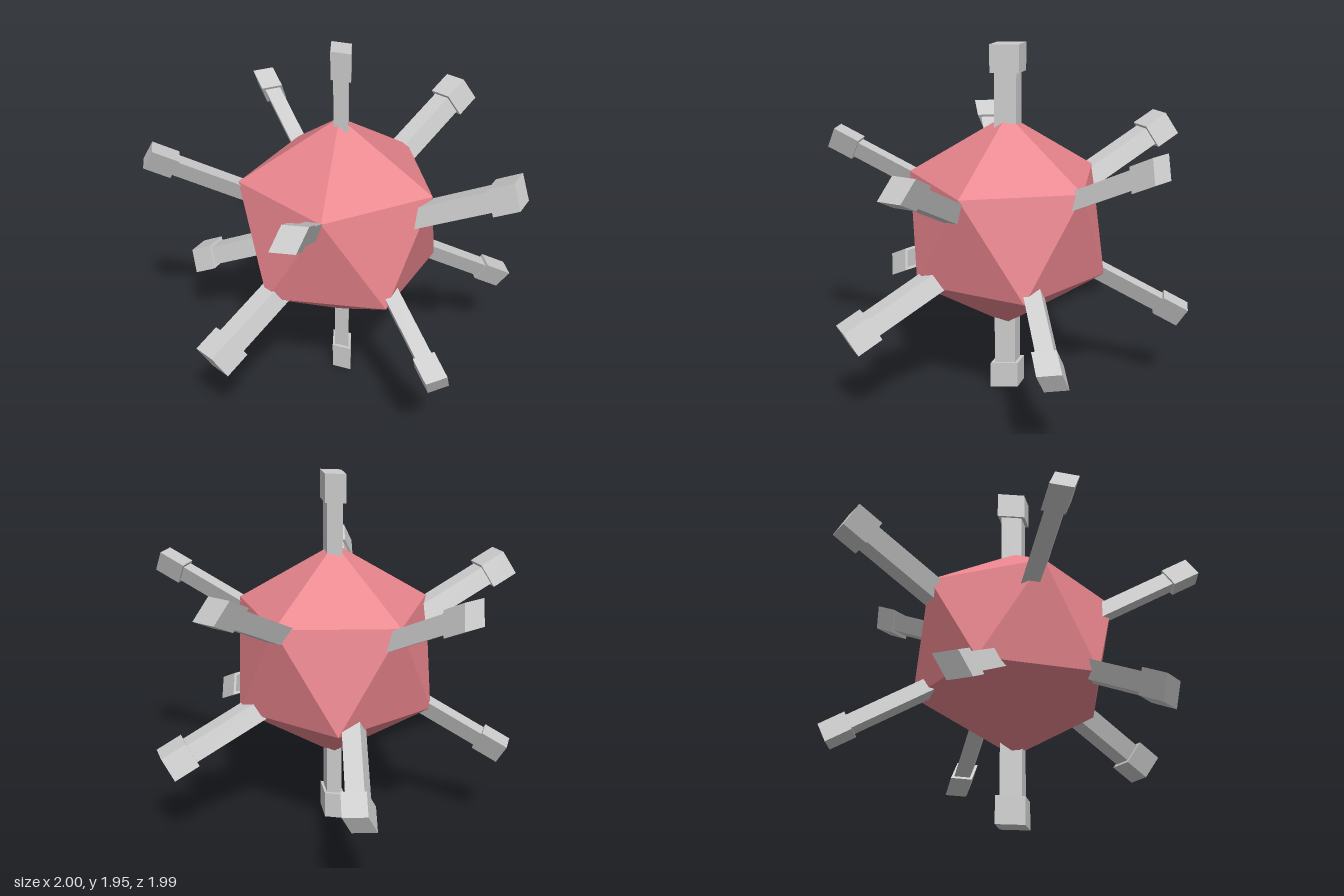
import * as THREE from 'three';
import { ConvexGeometry } from 'three/addons/geometries/ConvexGeometry.js';

const CENTRE = new THREE.Vector3(-0.04, 0.97, 0);
const RADIUS = 0.6;
const CAP_LENGTH = 0.148;
const BAR_LENGTH = 0.46;
const BAR_SCALE = 0.75;

// Unit direction of a core corner: latitude sign (+1 upper ring, -1 lower ring), angle about y
function ringDirection(sign, degrees) {
  const a = THREE.MathUtils.degToRad(degrees);
  const c = 2 / Math.sqrt(5);
  return new THREE.Vector3(c * Math.cos(a), sign / Math.sqrt(5), c * Math.sin(a));
}

// Each spike: direction and the centre of its outer end
const SPIKES = [
  [new THREE.Vector3(0, 1, 0), [-0.033, 1.945, -0.008]],
  [new THREE.Vector3(0, -1, 0), [-0.033, 0, -0.008]],
  [ringDirection(1, 0), [0.97, 1.407, 0.048]],
  [ringDirection(1, 72), [0.205, 1.41, 0.945]],
  [ringDirection(1, 144), [-0.866, 1.407, 0.547]],
  [ringDirection(1, 216), [-0.865, 1.435, -0.61]],
  [ringDirection(1, 288), [0.262, 1.456, -0.955]],
  [ringDirection(-1, 36), [0.775, 0.49, 0.51]],
  [ringDirection(-1, 108), [-0.314, 0.5, 0.885]],
  [ringDirection(-1, 180), [-0.97, 0.483, 0.047]],
  [ringDirection(-1, 252), [-0.42, 0.455, -0.9]],
  [ringDirection(-1, 324), [0.7, 0.475, -0.615]],
];

// Edge vectors of the slanted four-sided section for a spike direction
function sectionEdges(n) {
  if (Math.abs(n.y) > 0.99) {
    return [new THREE.Vector3(0.11, 0, -0.012), new THREE.Vector3(0.067, 0, 0.138)];
  }
  const m = n.clone().multiplyScalar(Math.sign(n.y));
  const right = new THREE.Vector3(m.z, 0, -m.x).normalize();
  const up = new THREE.Vector3(0, 1, 0).addScaledVector(m, -m.y).normalize();
  return [right.clone().multiplyScalar(0.125),
    up.multiplyScalar(0.127).addScaledVector(right, 0.05)];
}

// Slanted prism along n whose outer end is centred on end
function prism(name, n, end, length, scale, material) {
  const [u, v] = sectionEdges(n);
  if (u.clone().cross(v).dot(n) < 0) u.negate();
  const middle = end.clone().addScaledVector(n, -length / 2);
  const matrix = new THREE.Matrix4().makeBasis(
    u.multiplyScalar(scale), v.multiplyScalar(scale), n.clone().multiplyScalar(length));
  matrix.setPosition(middle);
  const geometry = new THREE.BoxGeometry(1, 1, 1).applyMatrix4(matrix);
  geometry.computeVertexNormals();
  const mesh = new THREE.Mesh(geometry, material);
  mesh.name = name;
  return mesh;
}

export function createModel() {
  const model = new THREE.Group();
  model.name = 'spikedBall';
  const grey = new THREE.MeshStandardMaterial({ color: 0xcccccc, flatShading: true });
  const pink = new THREE.MeshStandardMaterial({ color: 0xe8848c, flatShading: true });

  // Twenty-sided core standing on a corner
  const corners = SPIKES.map(([n]) => n.clone().multiplyScalar(RADIUS).add(CENTRE));
  const core = new THREE.Mesh(new ConvexGeometry(corners), pink);
  core.name = 'core';
  model.add(core);

  // A bar with a thicker cap on every corner
  for (const [n, tip] of SPIKES) {
    const end = new THREE.Vector3(...tip);
    const spike = new THREE.Group();
    spike.name = 'spike';
    spike.add(prism('cap', n, end, CAP_LENGTH, 1, grey));
    const barEnd = end.clone().addScaledVector(n, -CAP_LENGTH);
    spike.add(prism('bar', n, barEnd, BAR_LENGTH, BAR_SCALE, grey));
    model.add(spike);
  }
  return model;
}
